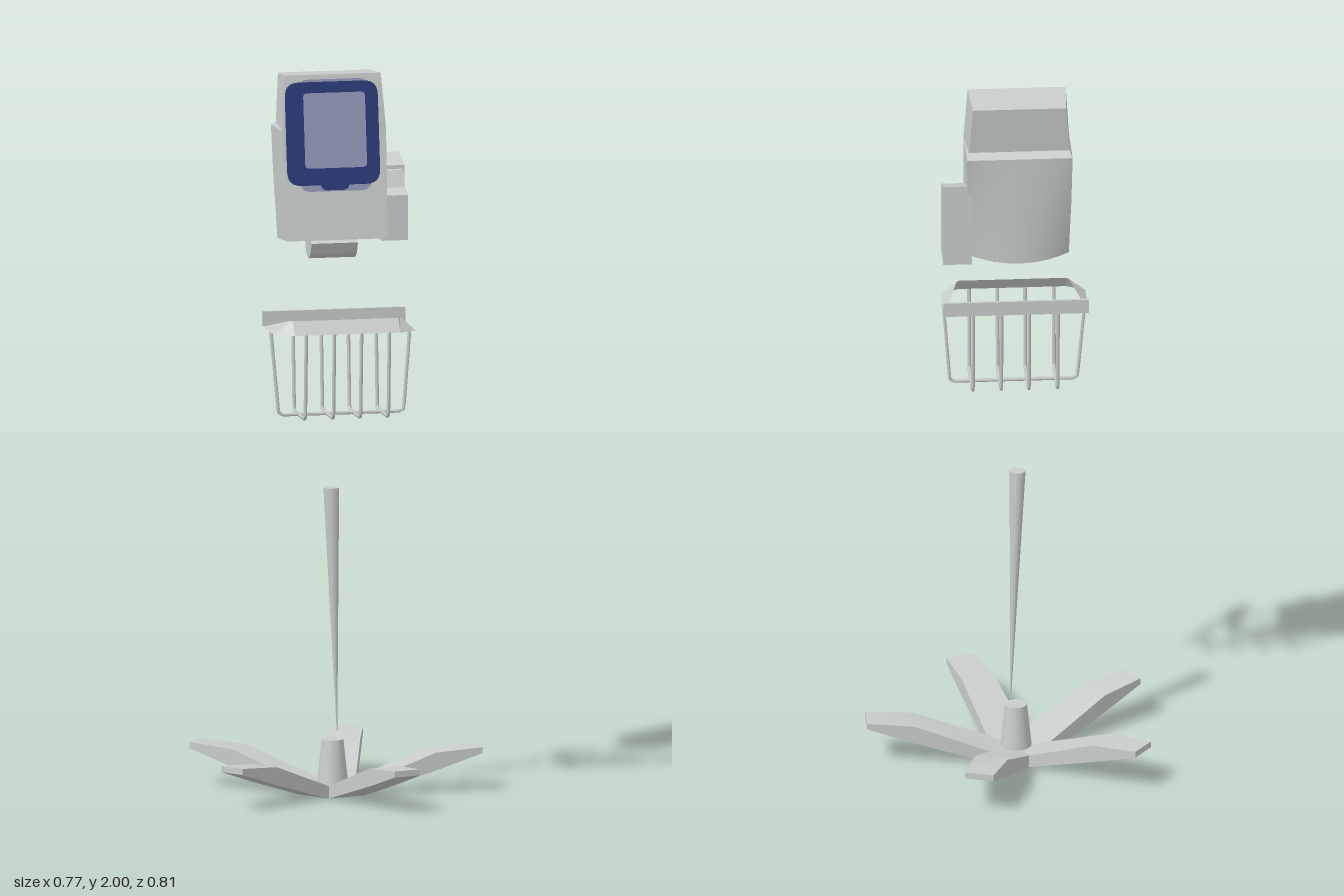
import * as THREE from 'three';
import { toCreasedNormals } from 'three/addons/utils/BufferGeometryUtils.js';

const AXIS = -0.027; // x of the stand's centre line

const shell = new THREE.MeshStandardMaterial({ name: 'light grey shell', color: 0xc8cdcb });
const shellOpen = new THREE.MeshStandardMaterial({ name: 'light grey sheet', color: 0xc8cdcb, side: THREE.DoubleSide });
const navy = new THREE.MeshStandardMaterial({ name: 'navy bezel', color: 0x2c3a78 });
const lavender = new THREE.MeshStandardMaterial({ name: 'lavender screen', color: 0x9298b8 });

function add(parent, name, geometry, material) {
  const mesh = new THREE.Mesh(geometry, material);
  mesh.name = name;
  parent.add(mesh);
  return mesh;
}

// Skin between rings of points; each ring runs counterclockwise seen from the far end.
function loft(rings, crease = 0.4) {
  const n = rings[0].length, last = rings.length - 1, index = [];
  for (let i = 0; i < last; i++) {
    for (let j = 0; j < n; j++) {
      const k = (j + 1) % n, a = i * n, b = a + n;
      index.push(a + j, a + k, b + k, a + j, b + k, b + j);
    }
  }
  for (let j = 1; j < n - 1; j++) {
    index.push(0, j + 1, j, last * n, last * n + j, last * n + j + 1);
  }
  const g = new THREE.BufferGeometry();
  g.setAttribute('position', new THREE.Float32BufferAttribute(rings.flat(2), 3));
  g.setIndex(index);
  return toCreasedNormals(g, crease);
}

// Side profile of [z, y] points pushed from x0 to x1.
function sideExtrude(points, x0, x1) {
  const shape = new THREE.Shape(points.map(([z, y]) => new THREE.Vector2(-z, y)));
  return new THREE.ExtrudeGeometry(shape, { depth: x1 - x0, bevelEnabled: false })
    .rotateY(Math.PI / 2).translate(x0, 0, 0);
}

function roundedPlate(w, h, r, depth) {
  const x = w / 2, y = h / 2, s = new THREE.Shape();
  s.moveTo(-x + r, -y).lineTo(x - r, -y).quadraticCurveTo(x, -y, x, -y + r)
    .lineTo(x, y - r).quadraticCurveTo(x, y, x - r, y)
    .lineTo(-x + r, y).quadraticCurveTo(-x, y, -x, y - r)
    .lineTo(-x, -y + r).quadraticCurveTo(-x, -y, -x + r, -y);
  return new THREE.ExtrudeGeometry(s, { depth, bevelEnabled: false, curveSegments: 6 });
}

function buildBase() {
  const base = new THREE.Group();
  base.name = 'base';
  base.position.x = AXIS;
  // Columns: radius, bottom height, top height, half width
  const ring = ([r, b, t, w]) => [[r, b, w], [r, b, -w], [r, t, -w], [r, t, w]];
  const leg = loft([[0, 0, 0.02, 0.058], [0.08, 0, 0.035, 0.056], [0.28, 0.06, 0.11, 0.047],
    [0.412, 0.103, 0.12, 0.04]].map(ring));
  for (let i = 0; i < 5; i++) add(base, 'leg', leg, shell).rotation.y = i * Math.PI * 0.4;
  add(base, 'hub', new THREE.CylinderGeometry(0.03, 0.045, 0.14, 24).translate(0, 0.08, 0), shell);
  return base;
}

// Pole tapering to an off-centre point at its foot
function buildPole() {
  const ring = (cx, cz, y, r) => Array.from({ length: 10 }, (_, i) => {
    const a = -i * Math.PI / 5;
    return [cx + r * Math.cos(a), y, cz + r * Math.sin(a)];
  });
  return loft([ring(-0.011, -0.017, 0.17, 0.001), ring(-0.032, 0.007, 0.85, 0.022)], 0.8);
}

function buildBasket() {
  const basket = new THREE.Group();
  basket.name = 'basket';
  add(basket, 'rimBack', new THREE.BoxGeometry(0.4, 0.04, 0.008).translate(-0.03, 1.33, 0.031), shell);

  // Sloping rim: outer lower edge joined to inner upper edge, falling towards the back
  const outer = [[-0.2, 0.05], [-0.2, 0.185], [-0.148, 0.213], [0.148, 0.213], [0.197, 0.183], [0.197, 0.05]];
  const inner = [[-0.195, 0.05, 1.312], [-0.155, 0.178, 1.345], [-0.148, 0.187, 1.345],
    [0.148, 0.187, 1.345], [0.155, 0.178, 1.345], [0.192, 0.05, 1.312]];
  const pos = [], index = [];
  outer.forEach(([x, z], i) => {
    const [ix, iz, iy] = inner[i];
    pos.push(x - 0.03, 1.308, z, ix - 0.03, iy, iz);
    if (i) index.push(2 * i - 2, 2 * i, 2 * i + 1, 2 * i - 2, 2 * i + 1, 2 * i - 1);
  });
  const rim = new THREE.BufferGeometry();
  rim.setAttribute('position', new THREE.Float32BufferAttribute(pos, 3));
  rim.setIndex(index);
  add(basket, 'rim', toCreasedNormals(rim, 0.2), shellOpen);

  // Bent wires
  const wire = (points) => {
    const path = new THREE.CurvePath();
    const v = points.map((p) => new THREE.Vector3(...p));
    const b = [1, 2].map((i) => [v[i - 1], v[i + 1]].map((q) =>
      v[i].clone().add(q.clone().sub(v[i]).setLength(0.012))));
    path.add(new THREE.LineCurve3(v[0], b[0][0]));
    path.add(new THREE.QuadraticBezierCurve3(b[0][0], v[1], b[0][1]));
    path.add(new THREE.LineCurve3(b[0][1], b[1][0]));
    path.add(new THREE.QuadraticBezierCurve3(b[1][0], v[2], b[1][1]));
    path.add(new THREE.LineCurve3(b[1][1], v[3]));
    add(basket, 'wire', new THREE.TubeGeometry(path, 60, 0.005, 6), shell);
  };
  for (const x of [-0.145, -0.066, 0.01, 0.088]) {
    wire([[x, 1.31, 0.033], [x, 1.073, 0.05], [x, 1.073, 0.197], [x, 1.31, 0.211]]);
  }
  wire([[-0.225, 1.31, 0.118], [-0.203, 1.075, 0.118], [0.147, 1.075, 0.118], [0.165, 1.31, 0.118]]);
  return basket;
}

function buildMonitor() {
  const monitor = new THREE.Group();
  monitor.name = 'monitor';
  // Ring: front edge, then a back edge that may bulge and dip in the middle
  const ring = (fz, fy, fw, bz, by, bw, bulge, dip) => {
    const pts = [[-0.03 - fw, fy, fz], [-0.03 + fw, fy, fz]];
    for (let i = 0; i <= 10; i++) {
      const t = 1 - i / 5;
      pts.push([-0.03 + bw * t, by + dip * t * t, bz + bulge * t * t]);
    }
    return pts;
  };
  add(monitor, 'housing', loft([
    ring(0.083, 1.55, 0.14, -0.104, 1.525, 0.138, 0.04, 0.012),
    ring(0.06, 1.7, 0.143, -0.112, 1.7, 0.143, 0.018, 0),
    ring(0.038, 1.845, 0.145, -0.118, 1.845, 0.145, 0, 0),
    ring(0.038, 1.85, 0.145, -0.087, 1.855, 0.138, 0, 0),
    ring(0.015, 2, 0.135, -0.105, 1.99, 0.128, 0, 0),
  ]), shell);
  add(monitor, 'mountFoot', sideExtrude([[0.045, 1.535], [0.03, 1.505], [0.012, 1.49], [-0.012, 1.49],
    [-0.03, 1.503], [-0.045, 1.535], [0, 1.56]], -0.095, 0.035), shell);

  // Side module: tall rear block and lower stepped front block
  add(monitor, 'moduleRear', sideExtrude([[-0.022, 1.535], [-0.022, 1.735], [-0.1, 1.76],
    [-0.1, 1.525]], 0.1, 0.18), shell);
  add(monitor, 'moduleFront', sideExtrude([[0.062, 1.54], [0.06, 1.665], [0.02, 1.68], [0, 1.725],
    [-0.03, 1.725], [-0.03, 1.535]], 0.1, 0.172), shell);

  // Display plates lying on the sloping front
  const plate = (name, x, y, w, h, r, depth, material) => {
    const mesh = add(monitor, name, roundedPlate(w, h, r, depth), material);
    mesh.position.set(x, y, 0.083 - (y - 1.55) * 0.151);
    mesh.rotation.x = -0.15;
  };
  plate('screenEdge', -0.03, 1.835, 0.2, 0.308, 0.03, 0.003, lavender);
  plate('bezel', -0.036, 1.84, 0.26, 0.284, 0.04, 0.005, navy);
  plate('bezelTab', -0.033, 1.72, 0.08, 0.07, 0.02, 0.005, navy);
  plate('screen', -0.029, 1.848, 0.173, 0.207, 0.012, 0.007, lavender);
  return monitor;
}

export function createModel() {
  const model = new THREE.Group();
  model.name = 'monitorStand';
  model.add(buildBase(), buildBasket(), buildMonitor());
  add(model, 'pole', buildPole(), shell);
  return model;
}
